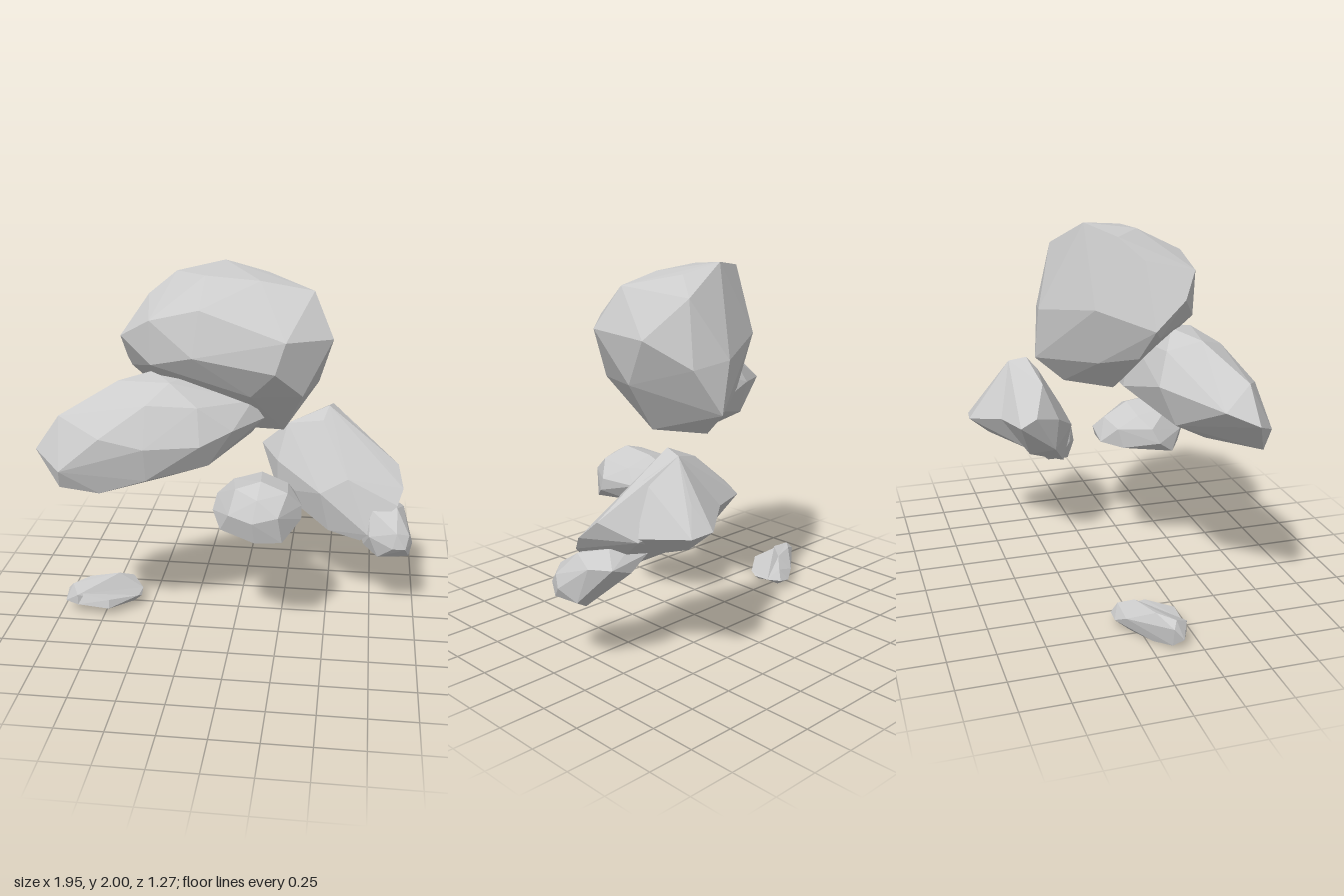
import * as THREE from 'three';
import { ConvexGeometry } from 'three/addons/geometries/ConvexGeometry.js';

const material = new THREE.MeshStandardMaterial({ color: 0xcccccc, flatShading: true });

// A faceted boulder: the convex hull of its corner points
function boulder(name, corners) {
  const points = corners.map(([x, y, z]) => new THREE.Vector3(x, y, z));
  const mesh = new THREE.Mesh(new ConvexGeometry(points), material);
  mesh.name = name;
  return mesh;
}

export function createModel() {
  const group = new THREE.Group();
  group.name = 'floatingBoulders';

  // Largest boulder, at the top
  group.add(boulder('topBoulder', [
    [-0.57, 1.53, 0.12], [-0.57, 1.68, 0.27], [-0.54, 1.49, 0.15], [-0.45, 1.86, 0.1],
    [-0.32, 1.96, 0], [-0.08, 2, -0.11], [0.15, 1.95, -0.07], [0.4, 1.9, 0.12],
    [0.505, 1.68, 0.22], [0.46, 1.65, -0.1], [0.43, 1.4, 0.04], [0.36, 1.4, 0.3],
    [0.25, 1.13, 0.06], [0.08, 1.12, -0.18], [-0.15, 1.13, 0.03], [0.12, 1.25, -0.33],
    [0.28, 1.5, -0.28], [0.06, 1.53, -0.32], [0.24, 1.85, -0.21], [-0.33, 1.6, -0.12],
    [-0.25, 1.3, -0.08], [-0.43, 1.36, 0.08], [-0.4, 1.79, 0.38], [-0.15, 1.85, 0.39],
    [0.28, 1.71, 0.43], [-0.18, 1.62, 0.44], [0.23, 1.55, 0.44], [-0.4, 1.56, 0.37],
    [0.13, 1.95, 0.15], [-0.15, 1.97, 0.15], [0.1, 1.4, 0.34],
  ]));

  // Long boulder leaning against the front
  group.add(boulder('frontBoulder', [
    [-0.975, 1.14, 0.51], [-0.84, 0.97, 0.59], [-0.83, 1.07, 0.635], [-0.85, 1.32, 0.5],
    [-0.9, 1.2, 0.36], [-0.57, 1.47, 0.36], [-0.4, 1.5, 0.26], [-0.2, 1.48, 0.22],
    [-0.3, 1.48, 0.4], [0.1, 1.35, 0.25], [0.16, 1.25, 0.22], [0.08, 1.12, 0.1],
    [-0.1, 1.03, 0.22], [-0.3, 0.98, 0.4], [-0.1, 1.07, 0.46], [-0.5, 0.93, 0.42],
    [-0.64, 0.94, 0.58], [-0.4, 1.2, 0.62], [-0.62, 1.25, 0.63], [-0.13, 1.2, 0.55],
    [0.02, 1.25, 0.44], [-0.57, 1.25, 0.14], [-0.2, 1.15, 0.07], [-0.4, 1.02, 0.58],
    [-0.6, 1.05, 0.22], [-0.15, 1.4, 0.13], [-0.5, 1.41, 0.2], [-0.15, 1.38, 0.48],
    [-0.4, 1.4, 0.53],
  ]));

  // Small boulder in the middle
  group.add(boulder('middleBoulder', [
    [-0.1, 0.76, 0.32], [-0.08, 0.84, 0.28], [0.03, 0.92, 0.4], [0.16, 0.96, 0.38],
    [0.3, 0.91, 0.4], [0.37, 0.82, 0.34], [0.37, 0.75, 0.36], [0.28, 0.67, 0.49],
    [0.14, 0.67, 0.51], [-0.05, 0.69, 0.41], [0.13, 0.79, 0.54], [0.26, 0.82, 0.52],
    [0, 0.8, 0.47], [0.15, 0.94, 0.2], [0.12, 0.87, 0.06], [0.18, 0.8, 0.01],
    [0.05, 0.75, 0.02], [0.2, 0.74, 0.03], [0.32, 0.81, 0.14], [-0.02, 0.84, 0.1],
    [0.12, 0.7, 0.24], [0.29, 0.89, 0.22], [0, 0.9, 0.22], [-0.03, 0.73, 0.13],
    [0.15, 0.9, 0.49], [0.29, 0.71, 0.22],
  ]));

  // Wedge-shaped boulder at the back, with a lobe swelling out behind it
  group.add(boulder('backBoulder', [
    [0.48, 1.15, -0.3], [0.5, 1.13, -0.4], [0.25, 1.05, -0.26], [0.1, 0.9, -0.33],
    [0.1, 0.85, -0.42], [0.3, 0.85, -0.49], [0.65, 1.02, -0.27], [0.88, 0.84, -0.23],
    [0.91, 0.74, -0.12], [0.88, 0.66, -0.06], [0.75, 0.74, -0.38], [0.2, 0.67, -0.2],
    [0.5, 0.48, -0.08], [0.68, 0.45, -0.03], [0.72, 0.5, 0], [0.45, 0.72, -0.04],
    [0.6, 0.8, -0.07], [0.3, 0.62, -0.33], [0.5, 0.63, -0.33], [0.2, 0.85, -0.18],
    [0.45, 1.08, -0.24],
  ]));
  group.add(boulder('backBoulderLobe', [
    [0.5, 0.8, -0.64], [0.63, 0.79, -0.625], [0.55, 0.93, -0.54], [0.3, 0.85, -0.49],
    [0.75, 0.76, -0.38], [0.5, 1.13, -0.4], [0.65, 1.02, -0.31], [0.55, 0.69, -0.52],
    [0.3, 0.66, -0.35], [0.6, 0.63, -0.33],
  ]));

  // Small boulder hanging below the wedge
  group.add(boulder('sideBoulder', [
    [0.97, 0.46, -0.02], [0.95, 0.4, 0.03], [0.85, 0.35, -0.09], [0.7, 0.42, -0.05],
    [0.93, 0.46, 0.08], [0.86, 0.46, 0.08], [0.88, 0.55, 0.07], [0.95, 0.52, 0.02],
    [0.88, 0.64, -0.07], [0.73, 0.64, -0.05], [0.8, 0.68, -0.22], [0.92, 0.6, -0.2],
    [0.85, 0.6, -0.3], [0.72, 0.55, -0.29], [0.73, 0.5, 0.02], [0.93, 0.4, -0.12],
    [0.78, 0.38, 0.02], [0.66, 0.55, -0.2], [0.7, 0.66, -0.25], [0.6, 0.62, -0.28],
  ]));

  // Flat pebble on the ground: main slab and a low tongue beside its ridge
  group.add(boulder('groundPebble', [
    [-0.98, 0.06, 0.15], [-0.97, 0.12, 0.1], [-0.94, 0.155, 0.12], [-0.86, 0.165, 0.04],
    [-0.7, 0.165, -0.02], [-0.63, 0.12, -0.09], [-0.61, 0.06, -0.12], [-0.68, 0.05, -0.12],
    [-0.75, 0.09, -0.08], [-0.57, 0.06, -0.05], [-0.64, 0.02, -0.07], [-0.72, 0.005, -0.05],
    [-0.85, 0, 0.03], [-0.95, 0.02, 0.1], [-0.9, 0.06, 0.19], [-0.9, 0.12, 0.19],
    [-0.7, 0.02, 0.08],
  ]));
  group.add(boulder('groundPebbleTongue', [
    [-0.9, 0.06, 0.19], [-0.88, 0.12, 0.17], [-0.72, 0.1, 0.19], [-0.72, 0.05, 0.2],
    [-0.57, 0.08, 0.08], [-0.56, 0.06, 0.04], [-0.6, 0.03, 0.05], [-0.7, 0.02, 0.08],
    [-0.57, 0.06, -0.05], [-0.85, 0.01, 0.08],
  ]));

  return group;
}
